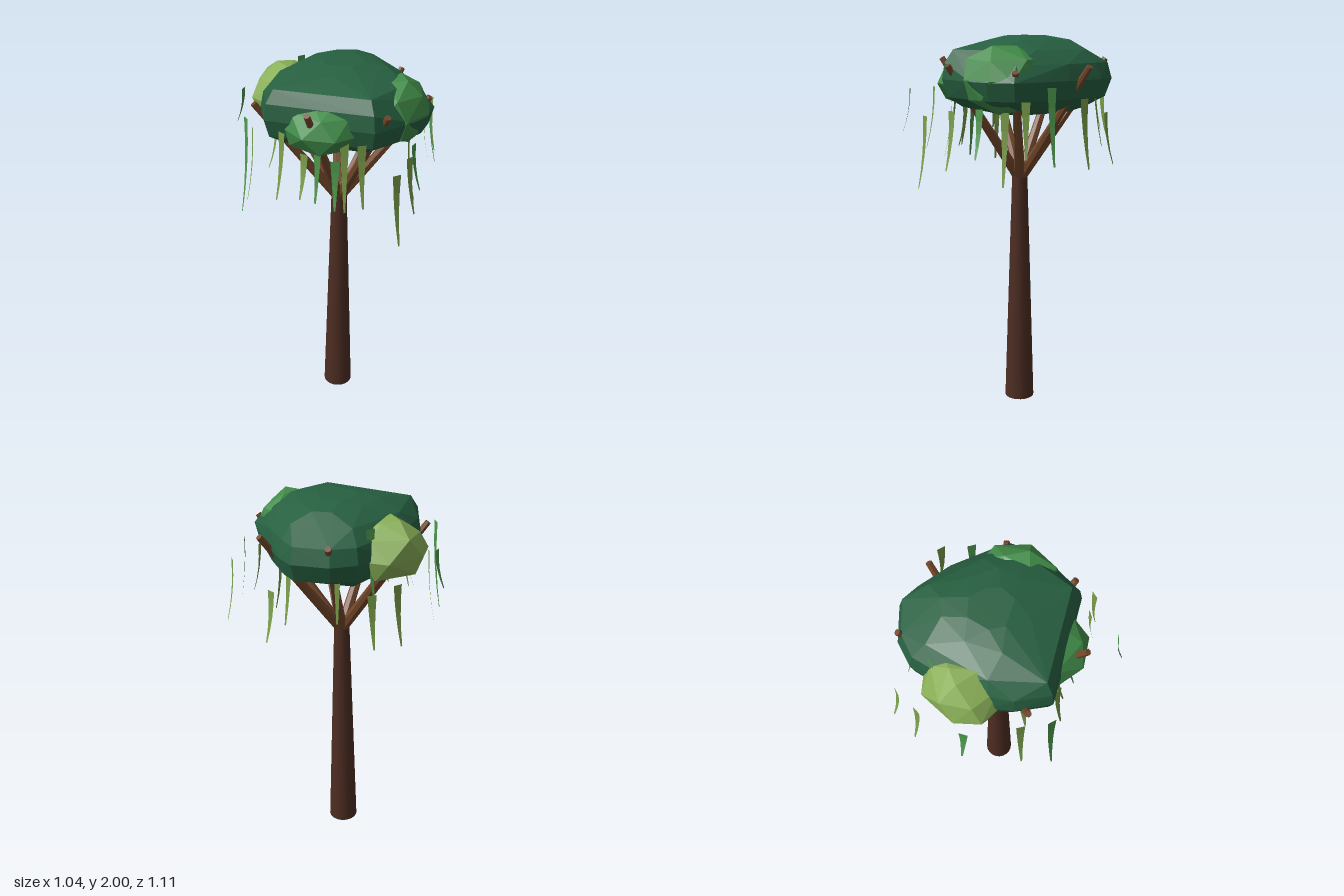
import * as THREE from 'three';
import { ConvexGeometry } from 'three/addons/geometries/ConvexGeometry.js';

const CX = 0.047, CZ = -0.042; // trunk axis

const mat = (color, options) => new THREE.MeshStandardMaterial({ color, ...options });

// Seeded generator for the irregular foliage
function seeded(seed) {
  return () => (seed = (seed * 16807) % 2147483647) / 2147483647;
}

function add(group, name, geometry, material) {
  const mesh = new THREE.Mesh(geometry, material);
  mesh.name = name;
  group.add(mesh);
}

// Tapered limb between two points
function limb(from, to, r0, r1, sides) {
  const dir = to.clone().sub(from);
  const g = new THREE.CylinderGeometry(r1, r0, dir.length(), sides);
  g.translate(0, dir.length() / 2, 0);
  g.applyQuaternion(new THREE.Quaternion().setFromUnitVectors(new THREE.Vector3(0, 1, 0), dir.normalize()));
  return g.translate(from.x, from.y, from.z);
}

// Faceted leaf clump: hull of a jittered ellipsoid
function clump(center, radii, seed) {
  const rnd = seeded(seed), pts = [];
  for (let j = 0; j < 5; j++) {
    const lat = -1.2 + j * 0.6, n = [3, 6, 8, 6, 3][j];
    for (let i = 0; i < n; i++) {
      const a = (i + rnd() * 0.6) / n * Math.PI * 2, k = 0.96 + rnd() * 0.1;
      pts.push(new THREE.Vector3(
        center[0] + Math.cos(a) * Math.cos(lat) * radii[0] * k,
        center[1] + Math.sin(lat) * radii[1] * k,
        center[2] + Math.sin(a) * Math.cos(lat) * radii[2] * k));
    }
  }
  return new ConvexGeometry(pts);
}

// Hanging vine: flat tapering ribbon that faces the trunk and bends away from it
function vine(x, z, top, bottom) {
  const len = top - bottom;
  const g = new THREE.PlaneGeometry(0.044, len, 1, 4).translate(0, -len / 2, 0);
  const p = g.attributes.position;
  for (let i = 0; i < p.count; i++) {
    const t = -p.getY(i) / len;
    p.setX(i, p.getX(i) * (1 - 0.8 * t));
    p.setZ(i, 0.045 * t * t - 0.02);
  }
  g.rotateY(Math.atan2(x - CX, z - CZ));
  g.translate(x, top, z);
  g.computeVertexNormals();
  return g;
}

export function createModel() {
  const tree = new THREE.Group();
  tree.name = 'tree';
  const flat = { flatShading: true };
  const bark = mat(0x4d2d22), branchBark = mat(0x74482b, flat);
  const dark = mat(0x276041, flat), green = mat(0x418c49, flat), lime = mat(0x88ae57, flat);

  // Trunk
  add(tree, 'trunk', new THREE.CylinderGeometry(0.04, 0.08, 1.3, 20).translate(CX, 0.65, CZ), bark);

  // Branches fanning out through the canopy
  const branches = new THREE.Group();
  branches.name = 'branches';
  tree.add(branches);
  const tips = [[0.02, 1.88, 0.39], [0.37, 1.86, 0.25], [0.49, 1.84, -0.12], [0.27, 1.86, -0.44],
    [-0.12, 1.88, -0.465], [-0.375, 1.86, -0.17], [-0.32, 1.83, 0.205]];
  for (const tip of tips) {
    const to = new THREE.Vector3(...tip);
    const from = new THREE.Vector3(CX, 1.25, CZ).lerp(to, 0.02);
    add(branches, 'branch', limb(from, to, 0.03, 0.016, 7), branchBark);
  }

  // Main canopy: one outline in plan, scaled at several heights, steep at the front
  const outline = [[0.05, -0.52], [0.14, -0.475], [0.29, -0.35], [0.42, -0.22], [0.515, -0.12], [0.505, 0.02],
    [0.46, 0.11], [0.32, 0.295], [0.05, 0.3], [-0.23, 0.3], [-0.31, 0.14], [-0.33, 0.02], [-0.29, -0.2],
    [-0.23, -0.38], [-0.13, -0.47]];
  const rings = [[1.615, 0.5], [1.65, 0.8], [1.7, 0.95], [1.79, 1], [1.87, 0.95], [1.935, 0.8], [1.98, 0.52], [2, 0.28]];
  const rnd = seeded(77), pts = [];
  rings.forEach(([y, s], r) => outline.forEach(([x, z], i) => {
    if ((r < 2 || r > 4) && (i + r) % 2) return;
    const front = THREE.MathUtils.clamp(z / 0.3, 0, 1);
    const steep = r === 4 || r === 5 ? front * (1 - s) * 0.5 : 0;
    const trim = r > 3 && x > 0.4 ? 0.93 : 1; // room for the clump on the left rim
    const k = (s + steep - (r === 3 ? 0 : rnd() * 0.03)) * trim;
    pts.push(new THREE.Vector3(0.06 + (x - 0.06) * k, y, -0.08 + (z + 0.08) * k));
  }));
  add(tree, 'mainCanopy', new ConvexGeometry(pts), dark);

  // Lighter clumps around the rim
  add(tree, 'limeClump', clump([-0.245, 1.78, -0.11], [0.195, 0.165, 0.2], 11), lime);
  add(tree, 'frontClump', clump([0.045, 1.755, 0.18], [0.21, 0.15, 0.215], 23), green);
  add(tree, 'leftClump', clump([0.35, 1.795, -0.02], [0.16, 0.17, 0.2], 37), green);

  // Vines: x, z, top, bottom
  const vines = new THREE.Group();
  vines.name = 'vines';
  tree.add(vines);
  const spots = [
    [0.175, -0.53, 1.63, 1.37], [0.45, -0.455, 1.72, 1.39], [0.48, -0.3, 1.77, 1.4], [0.48, -0.17, 1.7, 1.43],
    [0.43, -0.05, 1.64, 1.28], [0.48, 0.07, 1.66, 1.42], [0.49, 0.21, 1.65, 1.36], [0.46, 0.36, 1.62, 1.26],
    [0.2, 0.53, 1.73, 1.5], [0.285, 0.37, 1.75, 1.44], [0.18, 0.31, 1.72, 1.37], [0.045, 0.33, 1.74, 1.41],
    [-0.04, 0.3, 1.63, 1.4], [-0.15, 0.32, 1.74, 1.39], [-0.33, 0.33, 1.8, 1.3], [-0.36, 0.19, 1.69, 1.28],
    [-0.24, 0.17, 1.7, 1.48], [-0.5, -0.05, 1.8, 1.61], [-0.415, -0.315, 1.7, 1.4], [-0.34, -0.44, 1.68, 1.42],
    [-0.25, -0.28, 1.93, 1.6], [-0.14, -0.42, 1.88, 1.5], [0.11, -0.46, 1.86, 1.45]];
  const vineGreens = [0x7c9f4b, 0x4f9a4e].map((c) => mat(c, { flatShading: true, side: THREE.DoubleSide }));
  spots.forEach((s, i) => add(vines, 'vine', vine(...s), vineGreens[i % 3 === 2 ? 1 : 0]));

  return tree;
}
